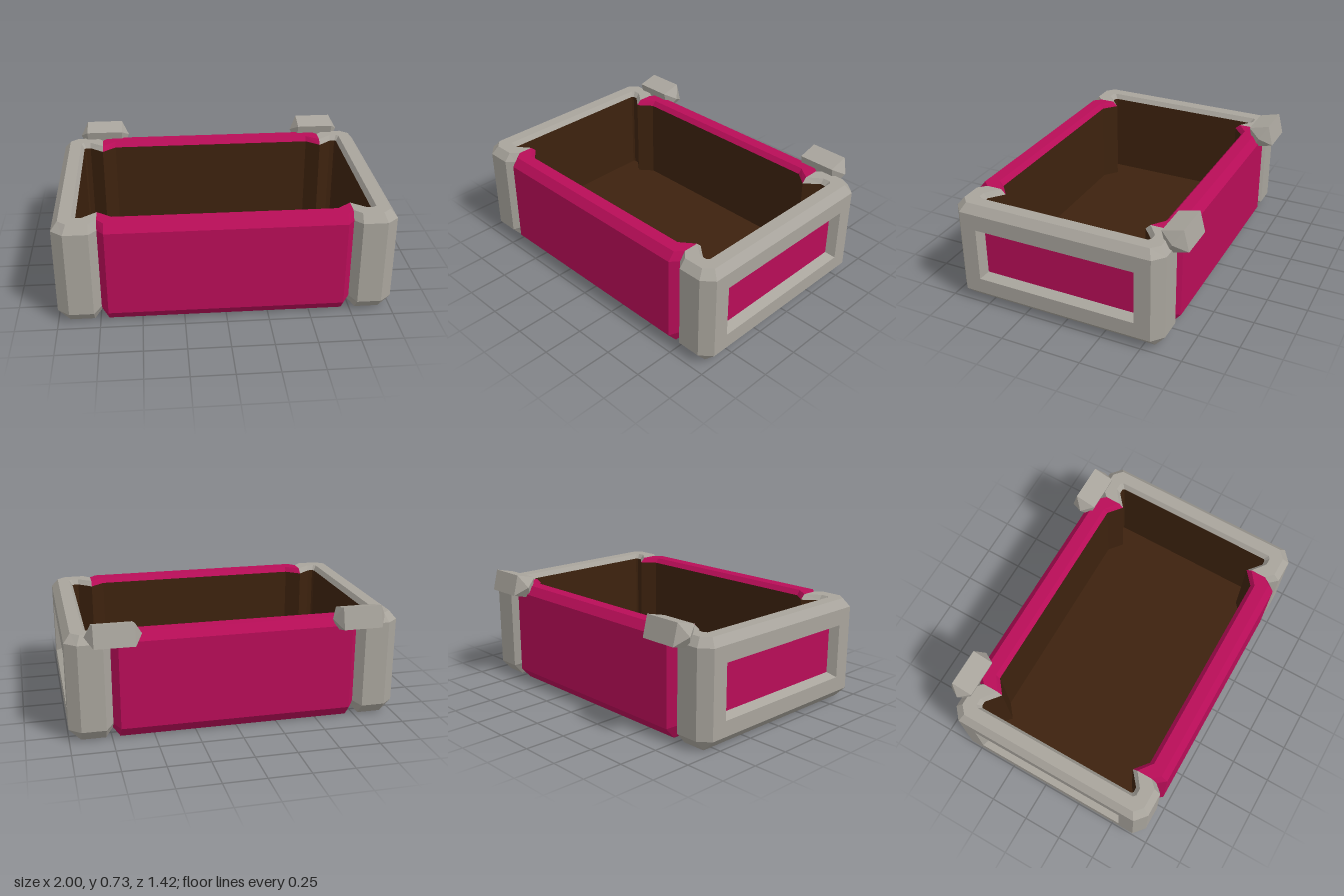
import * as THREE from 'three';

const Z0 = 0.045; // the box is symmetric about this depth

export function createModel() {
  const model = new THREE.Group();
  const mat = (name, color) => {
    const m = new THREE.MeshStandardMaterial({ color });
    m.name = name;
    return m;
  };
  const pink = mat('magenta', 0xb80d58);
  const gray = mat('warm gray', 0xa8a49c);
  const brown = mat('dark brown', 0x3d220e);

  // Faces of one quarter of the box (+x, +z), collected by part
  const parts = { pinkWalls: [], endFrames: [], innerLining: [], endPanels: [] };
  const quad = (part, a, b, c, d) => parts[part].push([a, b, c], [a, c, d]);

  // A column is the wall's cross-section, from underside centre over the rim to floor centre
  const column = (b, lo, up, to, ti, ib) => [
    [b[0], b[1], 0], b, lo, up, to, ti, ib, [ib[0], 0.08, ib[2]], [ib[0], 0.08, 0],
  ];
  const straight = (xo, xi) => column(
    [xo, 0, 0.605], [xo, 0.07, 0.665], [xo, 0.6, 0.665],
    [xo, 0.65, 0.625], [xi, 0.65, 0.55], [xi, 0.62, 0.525]);
  const columns = [
    straight(0, 0),
    straight(0.7, 0.655),
    // pinched seam between the pink wall and the end frame
    column([0.74, 0.045, 0.57], [0.74, 0.09, 0.615], [0.74, 0.6, 0.615],
      [0.74, 0.65, 0.58], [0.74, 0.65, 0.485], [0.74, 0.62, 0.455]),
    straight(0.785, 0.825),
    // cut corner
    column([0.93, 0, 0.605], [0.93, 0.07, 0.665], [0.93, 0.6, 0.665],
      [0.91, 0.65, 0.625], [0.87, 0.65, 0.55], [0.855, 0.62, 0.525]),
    column([0.93, 0, 0.605], [1, 0.07, 0.605], [1, 0.6, 0.605],
      [0.96, 0.65, 0.58], [0.885, 0.65, 0.535], [0.865, 0.62, 0.515]),
    // middle of the end
    column([0.93, 0, 0], [1, 0.07, 0], [1, 0.6, 0],
      [0.96, 0.65, 0], [0.885, 0.65, 0], [0.865, 0.62, 0]),
  ];
  for (let i = 0; i < columns.length - 1; i++) {
    const A = columns[i], B = columns[i + 1];
    for (let k = 0; k < A.length - 1; k++) {
      if (i === 5 && k === 2) continue; // recessed end face, built below
      const part = k >= 6 ? 'innerLining' : i < 2 ? 'pinkWalls' : 'endFrames';
      quad(part, A[k], B[k], B[k + 1], A[k + 1]);
    }
  }

  // End face with a bevelled recess and a pink panel
  const half = (x, y0, y1, w) => [[x, y0, w], [x, y0, 0], [x, y1, 0], [x, y1, w]];
  const rings = [half(1, 0.07, 0.6, 0.605), half(1, 0.165, 0.5, 0.505), half(0.943, 0.19, 0.472, 0.48)];
  for (let r = 0; r < 2; r++) {
    const o = rings[r], n = rings[r + 1];
    quad('endFrames', o[0], o[1], n[1], n[0]);
    quad('endFrames', n[3], n[2], o[2], o[3]);
    quad('endFrames', o[0], n[0], n[3], o[3]);
  }
  quad('endPanels', ...rings[2]);

  // Mirror the quarter four ways and make one mesh per part
  const colors = { pinkWalls: pink, endFrames: gray, innerLining: brown, endPanels: pink };
  for (const [name, tris] of Object.entries(parts)) {
    const pos = [];
    for (const sx of [1, -1]) for (const sz of [1, -1]) {
      for (const [a, b, c] of tris) {
        for (const p of sx * sz > 0 ? [a, b, c] : [a, c, b]) {
          pos.push(p[0] * sx, p[1], p[2] * sz + Z0);
        }
      }
    }
    const geo = new THREE.BufferGeometry();
    geo.setAttribute('position', new THREE.Float32BufferAttribute(pos, 3));
    geo.computeVertexNormals();
    const mesh = new THREE.Mesh(geo, colors[name]);
    mesh.name = name;
    model.add(mesh);
  }

  // Square hinge barrels with pointed ends on the back rim
  const profile = [[0, -0.163], [0.094, -0.117], [0.094, 0.117], [0, 0.163]]
    .map(([r, y]) => new THREE.Vector2(r, y));
  const barrel = new THREE.LatheGeometry(profile, 4, 0.536).rotateZ(Math.PI / 2).toNonIndexed();
  barrel.computeVertexNormals();
  for (const side of [1, -1]) {
    const hinge = new THREE.Mesh(barrel, gray);
    hinge.name = side > 0 ? 'leftHinge' : 'rightHinge';
    hinge.position.set(side * 0.728, 0.653, -0.632);
    model.add(hinge);
  }
  return model;
}
